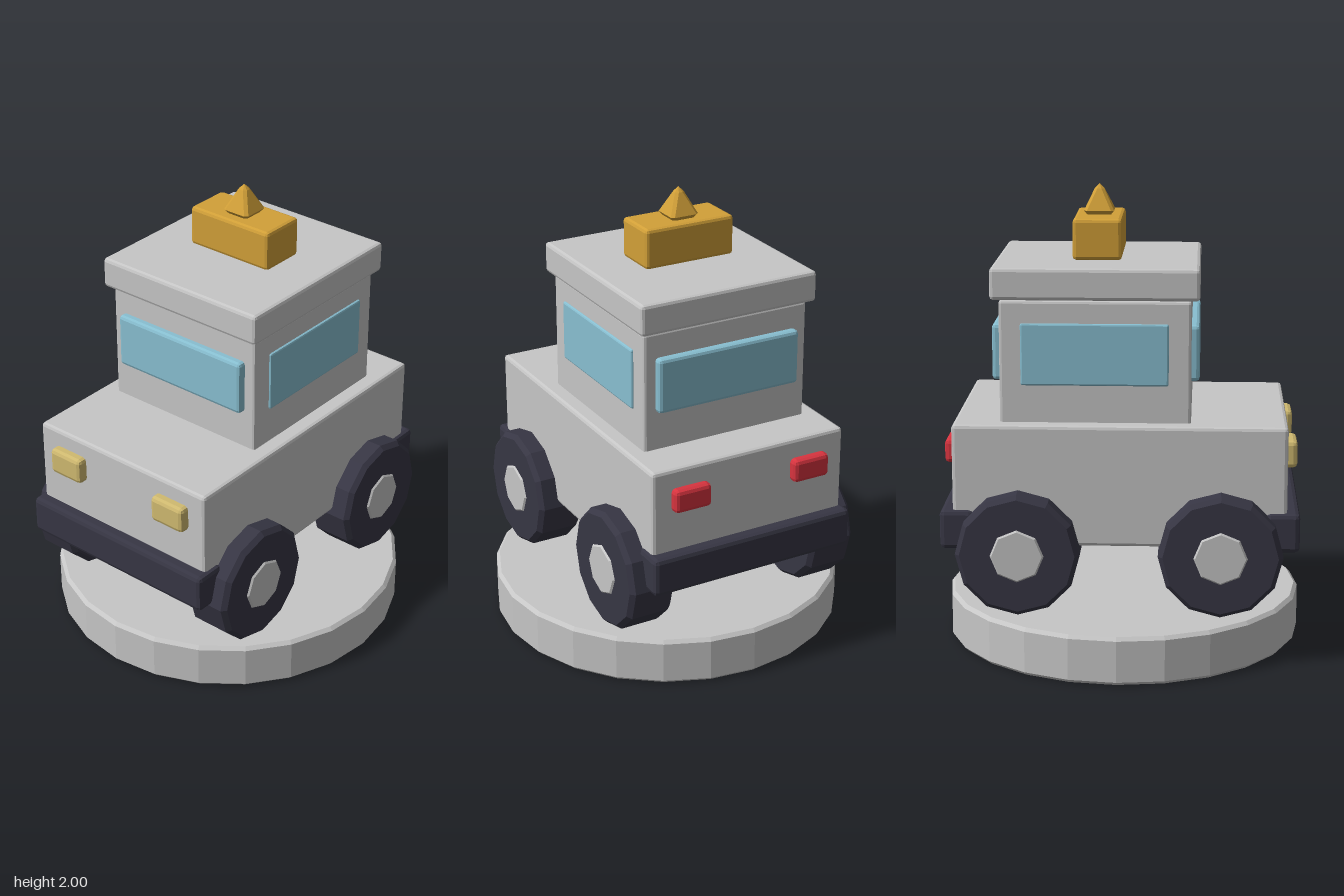
import * as THREE from 'three';
import { RoundedBoxGeometry } from 'three/addons/geometries/RoundedBoxGeometry.js';
import { ConvexGeometry } from 'three/addons/geometries/ConvexGeometry.js';

const mat = (name, color) => {
  const m = new THREE.MeshStandardMaterial({ color });
  m.name = name;
  return m;
};

// Faceted normals for low-poly parts
function faceted(geometry) {
  const g = geometry.index ? geometry.toNonIndexed() : geometry;
  g.computeVertexNormals();
  return g;
}

// Box with chamfered edges, given by its min and max on each axis
function bevelBox(name, material, [x0, x1], [y0, y1], [z0, z1], bevel = 0.015) {
  const geo = new RoundedBoxGeometry(x1 - x0, y1 - y0, z1 - z0, 1, bevel);
  const mesh = new THREE.Mesh(faceted(geo), material);
  mesh.name = name;
  mesh.position.set((x0 + x1) / 2, (y0 + y1) / 2, (z0 + z1) / 2);
  return mesh;
}

// Chamfered disc standing on the y axis, centred on the origin
function bevelDisc(radius, height, sides, bevel) {
  const h = height / 2;
  const profile = [
    [0, -h], [radius - bevel, -h], [radius, -h + bevel],
    [radius, h - bevel], [radius - bevel, h], [0, h],
  ].map(([x, y]) => new THREE.Vector2(x, y));
  return faceted(new THREE.LatheGeometry(profile, sides));
}

// Square pyramid with chamfered ridges; levels are [y, half width, corner cut]
function bevelPyramid(levels) {
  const points = [];
  for (const [y, w, cut] of levels) {
    for (const sx of [-1, 1]) for (const sz of [-1, 1]) {
      points.push(new THREE.Vector3(sx * w, y, sz * (w - cut)));
      points.push(new THREE.Vector3(sx * (w - cut), y, sz * w));
    }
  }
  points.push(new THREE.Vector3(0, 2, 0));
  return faceted(new ConvexGeometry(points));
}

export function createModel() {
  const grey = mat('light grey', 0xc6c6c6);
  const dark = mat('dark rubber', 0x373644);
  const glass = mat('blue glass', 0x88bfd1);
  const amber = mat('amber', 0xd2a038);
  const cream = mat('cream lamp', 0xd0ba70);
  const red = mat('red lamp', 0xd8343f);

  const model = new THREE.Group();
  model.name = 'truckOnStand';

  // Round stand
  const stand = new THREE.Mesh(bevelDisc(0.78, 0.21, 24, 0.015), grey);
  stand.name = 'stand';
  stand.position.y = 0.105;
  model.add(stand);

  // Body, cabin and roof
  model.add(
    bevelBox('body', grey, [-0.46, 0.46], [0.505, 1.03], [-0.71, 0.71]),
    bevelBox('cabin', grey, [-0.388, 0.388], [1.0, 1.55], [-0.51, 0.30], 0.012),
    bevelBox('roof', grey, [-0.415, 0.415], [1.555, 1.69], [-0.545, 0.335]),
  );

  // Windows
  model.add(
    bevelBox('windscreen', glass, [-0.335, 0.335], [1.2, 1.44], [0.26, 0.335]),
    bevelBox('rearWindow', glass, [-0.335, 0.335], [1.2, 1.44], [-0.545, -0.47]),
  );
  for (const s of [1, -1]) {
    const x = s > 0 ? [0.37, 0.398] : [-0.398, -0.37];
    model.add(bevelBox(s > 0 ? 'leftWindow' : 'rightWindow', glass, x, [1.19, 1.455], [-0.42, 0.205], 0.008));
  }

  // Roof beacon
  model.add(bevelBox('beaconBase', amber, [-0.21, 0.21], [1.695, 1.87], [-0.21, 0]));
  const tip = new THREE.Mesh(bevelPyramid([
    [1.87, 0.052, 0.01], [1.887, 0.065, 0.013], [1.978, 0.021, 0.012],
  ]), amber);
  tip.name = 'beaconTip';
  tip.position.z = -0.105;
  model.add(tip);

  // Bumpers and lamps
  model.add(
    bevelBox('frontBumper', dark, [-0.478, 0.478], [0.49, 0.66], [0.62, 0.765], 0.02),
    bevelBox('rearBumper', dark, [-0.478, 0.478], [0.49, 0.66], [-0.765, -0.62], 0.02),
  );
  for (const s of [1, -1]) {
    const x = s > 0 ? [0.2, 0.372] : [-0.372, -0.2];
    model.add(
      bevelBox('headlight', cream, x, [0.835, 0.952], [0.67, 0.753], 0.018),
      bevelBox('tailLight', red, x, [0.842, 0.945], [-0.75, -0.67], 0.018),
    );
  }

  // Wheels with hubs showing on both sides
  const tyreGeo = bevelDisc(0.265, 0.21, 12, 0.02).rotateZ(-Math.PI / 2);
  const hubGeo = bevelDisc(0.117, 0.225, 8, 0.01).rotateZ(-Math.PI / 2);
  for (const [end, z] of [['front', 0.43], ['rear', -0.43]]) {
    for (const s of [1, -1]) {
      const wheel = new THREE.Group();
      wheel.name = end + (s > 0 ? 'Left' : 'Right') + 'Wheel';
      const tyre = new THREE.Mesh(tyreGeo, dark);
      tyre.name = 'tyre';
      const hub = new THREE.Mesh(hubGeo, grey);
      hub.name = 'hub';
      wheel.add(tyre, hub);
      wheel.position.set(s * 0.445, 0.485, z);
      model.add(wheel);
    }
  }
  return model;
}
